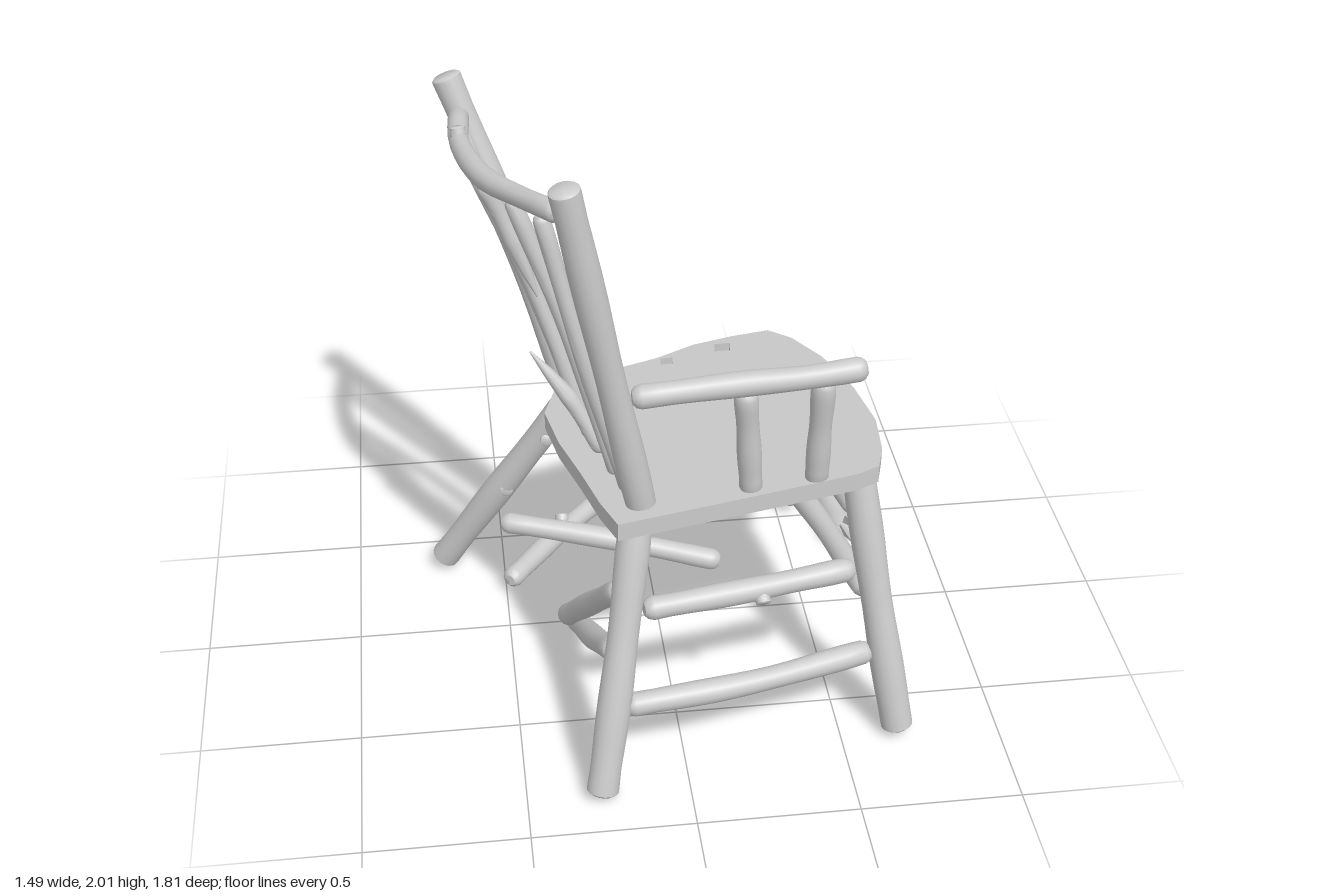
import * as THREE from 'three';
import { toCreasedNormals } from 'three/addons/utils/BufferGeometryUtils.js';

const material = new THREE.MeshStandardMaterial({ color: 0xcccccc });
const vec = (p) => new THREE.Vector3(...p);

// A whittled log swept along a few points; it may end in a jagged break or a splinter tip.
function logGeometry(points, r, { end = 0.55, bevel = 0.7, jag = 0, splinter = false, seed = 0 } = {}) {
  const curve = new THREE.CatmullRomCurve3(points.map(vec));
  const length = curve.getLength();
  const b = Math.min((bevel * r) / length, 0.3);
  const broken = jag > 0;
  const lastB = splinter ? 0.45 : broken ? 0.02 : b;
  const profile = [[0, 0], [end, 0], [(1 + end) / 2 + 0.08, b * 0.4], [1, b]];
  const steps = 12;
  for (let i = 1; i < steps; i++) {
    const t = b + ((1 - lastB - b) * i) / steps;
    profile.push([1 + 0.05 * Math.sin(t * 11 + seed), t]);
  }
  profile.push([1, 1 - lastB]);
  if (splinter) profile.push([0.6, 0.8], [0.12, 1], [0, 1]);
  else if (broken) profile.push([0.95, 1], [0, 1]);
  else profile.push([(1 + end) / 2 + 0.08, 1 - b * 0.4], [end, 1], [0, 1]);

  const geo = new THREE.LatheGeometry(profile.map(([x, t]) => new THREE.Vector2(x * r, t)), 16);
  const chord = vec(points[points.length - 1]).sub(vec(points[0]));
  const ref = Math.abs(chord.y) > 0.7 * chord.length() ? vec([0, 0, 1]) : vec([0, 1, 0]);
  const pos = geo.attributes.position;
  for (let i = 0; i < pos.count; i++) {
    const x = pos.getX(i), t = Math.min(Math.max(pos.getY(i), 0), 1), z = pos.getZ(i);
    const T = curve.getTangentAt(t);
    const U = new THREE.Vector3().crossVectors(ref, T).normalize();
    const V = new THREE.Vector3().crossVectors(U, T);
    const p = curve.getPointAt(t).addScaledVector(U, x).addScaledVector(V, z);
    if (broken && t > 0.999) {
      const rim = Math.hypot(x, z) > r * 0.3;
      p.addScaledVector(T, rim ? jag * (Math.abs(Math.sin(Math.atan2(z, x) * 2.5)) - 0.4) : -jag * 0.7);
    }
    pos.setXYZ(i, p.x, p.y, p.z);
  }
  return toCreasedNormals(geo, 0.75);
}

// Seat slab: outline in x and z, tilted by a linear rule.
const seatTop = (x, z) => 0.874 + 0.0765 * x + 0.079 * z;
const outline = [[-0.3, -0.2], [-0.12, -0.23], [0.03, -0.27], [0.16, -0.33], [0.29, -0.355], [0.416, -0.365],
  [0.483, -0.29], [0.555, -0.135], [0.613, 0.096], [0.637, 0.31], [0.62, 0.48], [0.59, 0.58],
  [0.52, 0.61], [0.35, 0.635], [0.1, 0.67], [-0.2, 0.71], [-0.24, 0.58], [-0.28, 0.4], [-0.33, 0.2], [-0.36, 0]];

function seatLayer(top, depth, sockets) {
  const shape = new THREE.Shape(outline.map(([x, z]) => new THREE.Vector2(x, -z)));
  for (const [x, z, s] of sockets) {
    const corners = [[-s, -s * 0.8], [s * 0.8, -s], [s, s * 0.9], [-s * 0.8, s]];
    shape.holes.push(new THREE.Path(corners.map(([a, c]) => new THREE.Vector2(x + a, -z + c))));
  }
  const geo = new THREE.ExtrudeGeometry(shape, { depth, bevelEnabled: false });
  geo.rotateX(-Math.PI / 2);
  const pos = geo.attributes.position;
  for (let i = 0; i < pos.count; i++) {
    pos.setY(i, pos.getY(i) - depth - top + seatTop(pos.getX(i), pos.getZ(i)));
  }
  return toCreasedNormals(geo, 0.5);
}

export function createModel() {
  const model = new THREE.Group();
  let seed = 0;
  const add = (name, geo, parent = model) => {
    const mesh = new THREE.Mesh(geo, material);
    mesh.name = name;
    parent.add(mesh);
  };
  const group = (name) => {
    const g = new THREE.Group();
    g.name = name;
    model.add(g);
    return g;
  };
  const log = (name, points, r, options = {}, parent = model) =>
    add(name, logGeometry(points, r, { seed: seed++, ...options }), parent);
  const blunt = { end: 0.82, bevel: 0.35 };

  // Seat with two empty sockets where the second arm broke away
  const seat = group('seat');
  add('seatSurface', seatLayer(0, 0.028, [[0.06, -0.24, 0.022], [0.25, -0.285, 0.028]]), seat);
  add('seatBase', seatLayer(0.028, 0.03, []), seat);

  // Back: posts, curved crest rail and spindles
  const back = group('back');
  log('backPost', [[-0.12, 0.9, 0.605], [-0.225, 1.45, 0.65], [-0.33, 2.0, 0.695]], 0.045, blunt, back);
  log('backPost', [[-0.265, 0.84, -0.135], [-0.42, 1.36, -0.21], [-0.607, 1.89, -0.3]], 0.046, blunt, back);
  log('crestRail', [[-0.575, 1.785, -0.24], [-0.58, 1.805, 0], [-0.52, 1.835, 0.29], [-0.43, 1.865, 0.47], [-0.34, 1.9, 0.64]],
    0.032, {}, back);
  const spindles = [
    [[-0.15, 0.9, 0.515], [-0.28, 1.4, 0.555], [-0.385, 1.85, 0.55]],
    [[-0.175, 0.9, 0.425], [-0.31, 1.4, 0.42], [-0.455, 1.83, 0.41]],
    [[-0.23, 0.88, 0.19], [-0.39, 1.4, 0.16], [-0.55, 1.8, 0.14]],
    [[-0.235, 0.86, 0.005], [-0.41, 1.35, -0.055], [-0.575, 1.78, -0.13]],
  ];
  for (const s of spindles) log('spindle', s, 0.025, {}, back);
  log('brokenSpindleLower', [[-0.205, 0.9, 0.305], [-0.3, 1.08, 0.28], [-0.41, 1.23, 0.245]], 0.026, { splinter: true }, back);
  log('brokenSpindleUpper', [[-0.525, 1.82, 0.288], [-0.46, 1.66, 0.283], [-0.385, 1.45, 0.3]], 0.027, { splinter: true }, back);

  // Remaining arm
  const arm = group('arm');
  log('armRest', [[-0.15, 1.305, 0.645], [0.16, 1.32, 0.635], [0.35, 1.335, 0.645], [0.52, 1.35, 0.64]], 0.037, {}, arm);
  log('armPost', [[0.205, 0.92, 0.6], [0.19, 1.12, 0.615], [0.175, 1.3, 0.635]], 0.035, {}, arm);
  log('armPost', [[0.4, 0.93, 0.59], [0.4, 1.12, 0.61], [0.4, 1.32, 0.635]], 0.035, {}, arm);

  // Legs, one snapped halfway
  const legs = group('legs');
  log('frontLeg', [[0.545, 0.89, 0.515], [0.61, 0.45, 0.6], [0.68, 0.025, 0.675]], 0.05, blunt, legs);
  log('backLeg', [[-0.14, 0.87, 0.635], [-0.2, 0.46, 0.745], [-0.272, 0.025, 0.86]], 0.05, blunt, legs);
  log('backLeg', [[-0.25, 0.82, -0.15], [-0.48, 0.43, -0.25], [-0.705, 0.035, -0.365]], 0.048, blunt, legs);
  log('brokenFrontLeg', [[0.4, 0.85, -0.25], [0.42, 0.6, -0.255], [0.45, 0.34, -0.275]], 0.05, { ...blunt, jag: 0.1 }, legs);

  // Stretchers still held by the legs
  const stretchers = group('stretchers');
  const rails = [
    [[-0.125, 0.59, 0.7], [0.2, 0.585, 0.64], [0.53, 0.59, 0.58]],
    [[-0.19, 0.295, 0.785], [0.2, 0.295, 0.725], [0.59, 0.295, 0.62]],
    [[0.55, 0.75, 0.485], [0.49, 0.73, 0.13], [0.42, 0.69, -0.2]],
    [[0.585, 0.47, 0.54], [0.52, 0.445, 0.15], [0.45, 0.4, -0.22]],
    [[-0.19, 0.64, 0.665], [-0.25, 0.4, 0.41], [-0.32, 0.17, 0.18]],
    [[-0.215, 0.45, 0.71], [-0.25, 0.25, 0.4], [-0.28, 0.045, 0.05]],
  ];
  for (const s of rails) log('stretcher', s, 0.037, {}, stretchers);

  // Pieces lying on the ground
  const fallen = group('fallenPieces');
  log('fallenStretcher', [[-0.5, 0.165, -0.365], [-0.13, 0.12, -0.28], [0.24, 0.06, -0.19]], 0.037, {}, fallen);
  log('fallenStretcher', [[-0.49, 0.065, -0.16], [-0.3, 0.055, -0.42], [-0.08, 0.055, -0.67]], 0.036, {}, fallen);
  log('fallenArmRest', [[-0.13, 0.055, -0.785], [0.2, 0.07, -0.83], [0.35, 0.08, -0.83], [0.53, 0.088, -0.868]], 0.038, {}, fallen);
  log('fallenArmPost', [[0.19, 0.07, -0.79], [0.175, 0.07, -0.62], [0.155, 0.06, -0.44]], 0.034, {}, fallen);
  log('fallenArmPost', [[0.41, 0.08, -0.81], [0.47, 0.075, -0.67], [0.56, 0.065, -0.5]], 0.034, {}, fallen);
  log('brokenLegEnd', [[0.68, 0.053, -0.69], [0.688, 0.053, -0.5], [0.695, 0.053, -0.33]], 0.052, { ...blunt, jag: 0.08 }, fallen);

  // Cut branch knots
  const knots = group('knots');
  const stubs = [
    [[-0.385, 1.215, -0.19], [-0.33, 1.225, -0.19]],
    [[-0.355, 0.64, -0.2], [-0.345, 0.645, -0.14]],
    [[-0.49, 0.405, -0.26], [-0.485, 0.41, -0.205]],
    [[0.235, 0.585, 0.64], [0.24, 0.555, 0.675]],
    [[-0.285, 0.06, -0.44], [-0.285, 0.1, -0.475]],
    [[-0.58, 1.8, -0.01], [-0.585, 1.85, -0.025]],
  ];
  for (const s of stubs) log('knot', s, 0.023, { ...blunt }, knots);
  return model;
}
